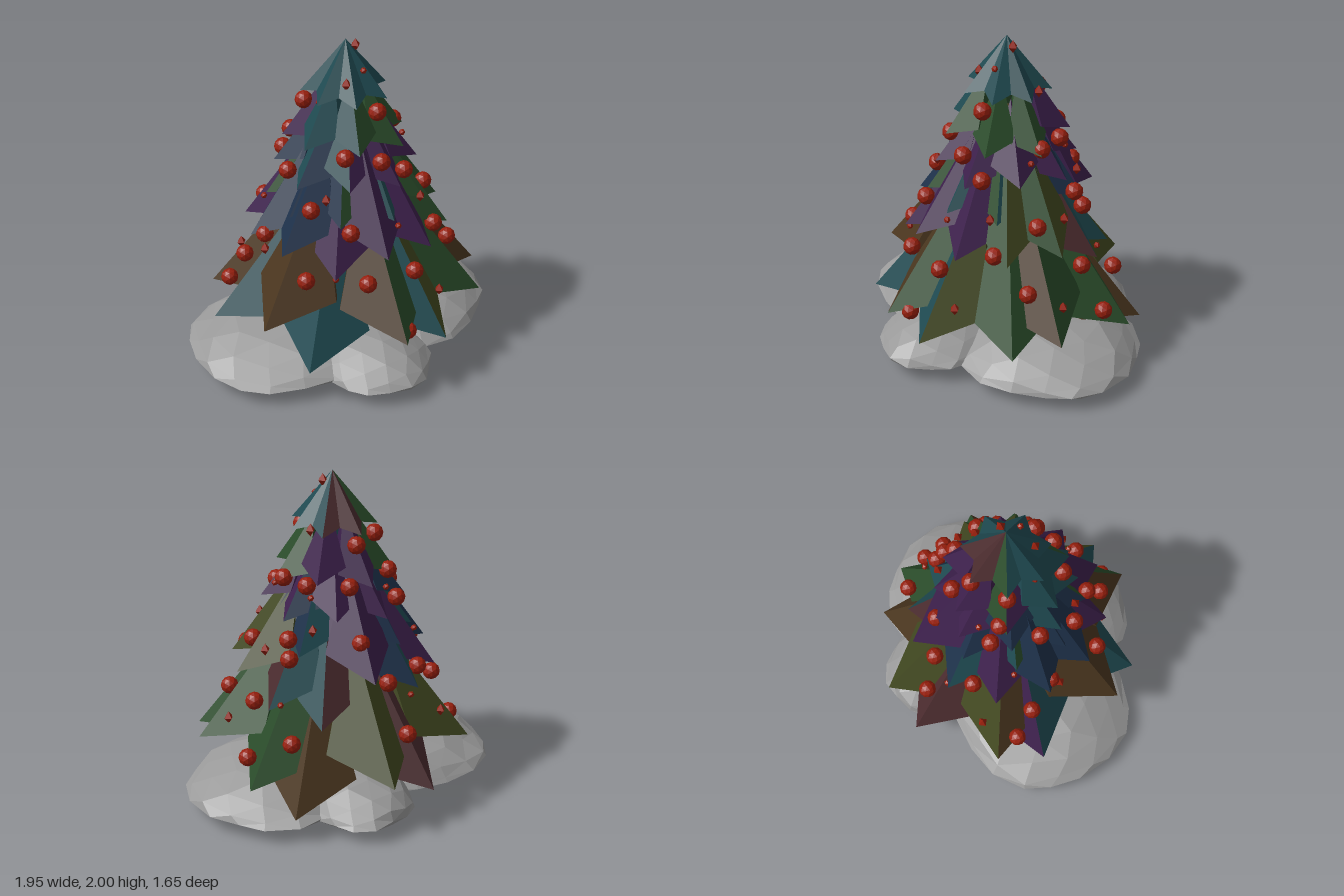
import * as THREE from 'three';

const mat = (name, color) => Object.assign(new THREE.MeshStandardMaterial({ color }), { name });
const M = {
  green: mat('pine green', 0x2a4c2a), teal: mat('teal', 0x1f4a51), purple: mat('purple', 0x3d204c),
  olive: mat('olive', 0x414820), brown: mat('brown', 0x4a361f), blue: mat('dark blue', 0x1e314a),
  maroon: mat('maroon', 0x4a2b2e), red: mat('ornament red', 0x981f0d),
  snow: mat('snow grey', 0x999999), bark: mat('bark', 0x4a3a20),
};
const AXIS_X = 0.03;

// point around the trunk; 0 degrees faces +z and angles grow towards +x
function around(degrees, radius, y) {
  const a = THREE.MathUtils.degToRad(degrees);
  return [AXIS_X + radius * Math.sin(a), y, radius * Math.cos(a)];
}

// folded branch: a ridge from top to tip, two sloping halves and a closed underside
function branch(angle, y, tier, colors) {
  const tip = around(angle, tier.r, y);
  const T = around(angle, tier.topR, y + tier.h);
  const L = around(angle - tier.w, tier.r * 0.68, y + tier.rise);
  const R = around(angle + tier.w, tier.r * 0.68, y + tier.rise);
  const C = around(0, 0, y + tier.rise);
  const corners = [T, L, tip, tip, L, C, T, C, L, T, tip, R, tip, C, R, T, R, C];
  const g = new THREE.BufferGeometry();
  g.setAttribute('position', new THREE.Float32BufferAttribute(corners.flat(), 3));
  g.computeVertexNormals();
  g.addGroup(0, 9, 0);
  g.addGroup(9, 9, 1);
  const [left, right = left] = colors.split('/');
  const mesh = new THREE.Mesh(g, [M[left], M[right]]);
  mesh.name = 'branch';
  return mesh;
}

// tiers from bottom to top; colours run counter-clockwise, "left/right" for two-tone branches
const TIERS = [
  { name: 'bottomTier', r: 0.825, h: 0.78, topR: 0.24, w: 29, rise: 0.12,
    angle: i => 60 * Math.floor(i / 2) + (i % 2 ? 9 : -11),
    heights: [0.42, 0.35, 0.35, 0.4, 0.3, 0.18, 0.35, 0.25, 0.33, 0.25, 0.47, 0.26],
    colors: 'brown/green teal/olive green brown/green green brown olive maroon olive/brown purple/teal brown teal' },
  { name: 'lowerTier', r: 0.61, h: 0.6, topR: 0.2, w: 29, rise: 0.12,
    angle: i => 60 * Math.floor(i / 2) + (i % 2 ? -13 : -42),
    heights: [0.77, 0.88, 0.84, 0.84, 0.85, 0.72, 0.65, 0.92, 0.8, 0.82, 0.86, 0.86],
    colors: 'purple purple purple green/olive green/olive maroon/teal teal/maroon purple blue/teal purple blue blue' },
  { name: 'middleTier', r: 0.47, h: 0.48, topR: 0.16, w: 27, rise: 0.08,
    angle: i => -40 + i * 40, heights: [1.03],
    colors: 'blue/green teal green/teal green/blue blue/teal purple/teal blue teal/green blue' },
  { name: 'upperMiddleTier', r: 0.42, h: 0.42, topR: 0.12, w: 29, rise: 0.07,
    angle: i => -33 + i * 45, heights: [1.24, 1.2],
    colors: 'teal/purple purple purple purple/blue purple purple blue teal/blue' },
  { name: 'upperTier', r: 0.37, h: 0.4, topR: 0.1, w: 31, rise: 0.06,
    angle: i => -24 + i * 360 / 7, heights: [1.44, 1.4, 1.39],
    colors: 'teal/green green green purple purple green/purple teal' },
  { name: 'topTier', r: 0.26, h: 0.32, topR: 0, w: 30, rise: 0.04,
    angle: i => -23 + i * 360 / 7, heights: [1.68],
    colors: 'teal teal teal teal/maroon maroon green/teal teal' },
];

// ornaments by row: height, then the angles hung there
const BALLS = [
  [1.62, 12, 178, 234], [1.41, -37, 84, 117, 161, 226], [1.36, 0], [1.26, -97, 25, 219],
  [1.11, -63, 109, 165], [1.01, -33, 68, 113], [0.87, 39, 180, 211, 262],
  [0.73, -59, -24, 6, 94], [0.66, 58, 247], [0.57, 123, 185], [0.43, -6, 100, 238],
];
const DROPS = [
  [1.95, 80], [1.79, -35], [1.7, 107], [1.18, -52, 128], [1.06, 35], [1.01, 90],
  [0.8, 267], [0.55, 20, 76, 220],
];
const BEADS = [[1.84, 15], [1.68, -80], [1.35, 70, 123, 206], [1, 2, 238], [0.76, -42, 113, 195]];
const hangRadius = y => Math.min(0.24 + (1.62 - y) * 0.395, (2.02 - y) * 0.6 + 0.02);

// faceted lens-shaped drift with a thin rim at y = 0.1
function drift(x, z, rx, rz, top, bottom, seed) {
  const g = new THREE.IcosahedronGeometry(1, 2), p = g.attributes.position;
  for (let i = 0; i < p.count; i++) {
    const [a, b, c] = [p.getX(i), p.getY(i), p.getZ(i)];
    const k = 1 + 0.06 * Math.sin(4 * a + seed) * Math.cos(5 * c + 3 * b + seed);
    const lens = b * (0.3 + 0.7 * Math.abs(b));
    p.setXYZ(i, x + a * rx * k, 0.1 + lens * (b > 0 ? top : bottom) * k, z + c * rz * k);
  }
  g.computeVertexNormals();
  const mesh = new THREE.Mesh(g, M.snow);
  mesh.name = 'snowDrift';
  return mesh;
}

export function createModel() {
  const model = new THREE.Group();
  model.name = 'decoratedTree';

  const snow = new THREE.Group();
  snow.name = 'snowBase';
  snow.add(
    drift(-0.39, -0.06, 0.59, 0.56, 0.2, 0.07, 1),
    drift(0.42, 0.02, 0.57, 0.55, 0.225, 0.095, 2.3),
    drift(-0.1, 0.38, 0.35, 0.44, 0.19, 0.07, 4),
    drift(0.17, -0.4, 0.34, 0.4, 0.21, 0.08, 5.2));
  model.add(snow);

  const trunk = new THREE.Mesh(new THREE.CylinderGeometry(0.05, 0.1, 1.4, 8).toNonIndexed(), M.bark);
  trunk.geometry.computeVertexNormals();
  trunk.name = 'trunk';
  trunk.position.set(AXIS_X, 0.85, 0);
  model.add(trunk);

  for (const tier of TIERS) {
    const group = new THREE.Group();
    group.name = tier.name;
    tier.colors.split(' ').forEach((colors, i) =>
      group.add(branch(tier.angle(i), tier.heights[i % tier.heights.length], tier, colors)));
    model.add(group);
  }

  const ornaments = new THREE.Group();
  ornaments.name = 'ornaments';
  const hang = (name, rows, geometry) => {
    geometry.computeVertexNormals();
    for (const [y, ...angles] of rows) for (const angle of angles) {
      const mesh = new THREE.Mesh(geometry, M.red);
      mesh.name = name;
      mesh.position.set(...around(angle, hangRadius(y), y));
      ornaments.add(mesh);
    }
  };
  hang('ballOrnament', BALLS, new THREE.IcosahedronGeometry(0.053, 1));
  hang('dropOrnament', DROPS, new THREE.OctahedronGeometry(0.03).scale(1, 1.3, 1));
  hang('beadOrnament', BEADS, new THREE.IcosahedronGeometry(0.02, 0));
  model.add(ornaments);
  return model;
}
